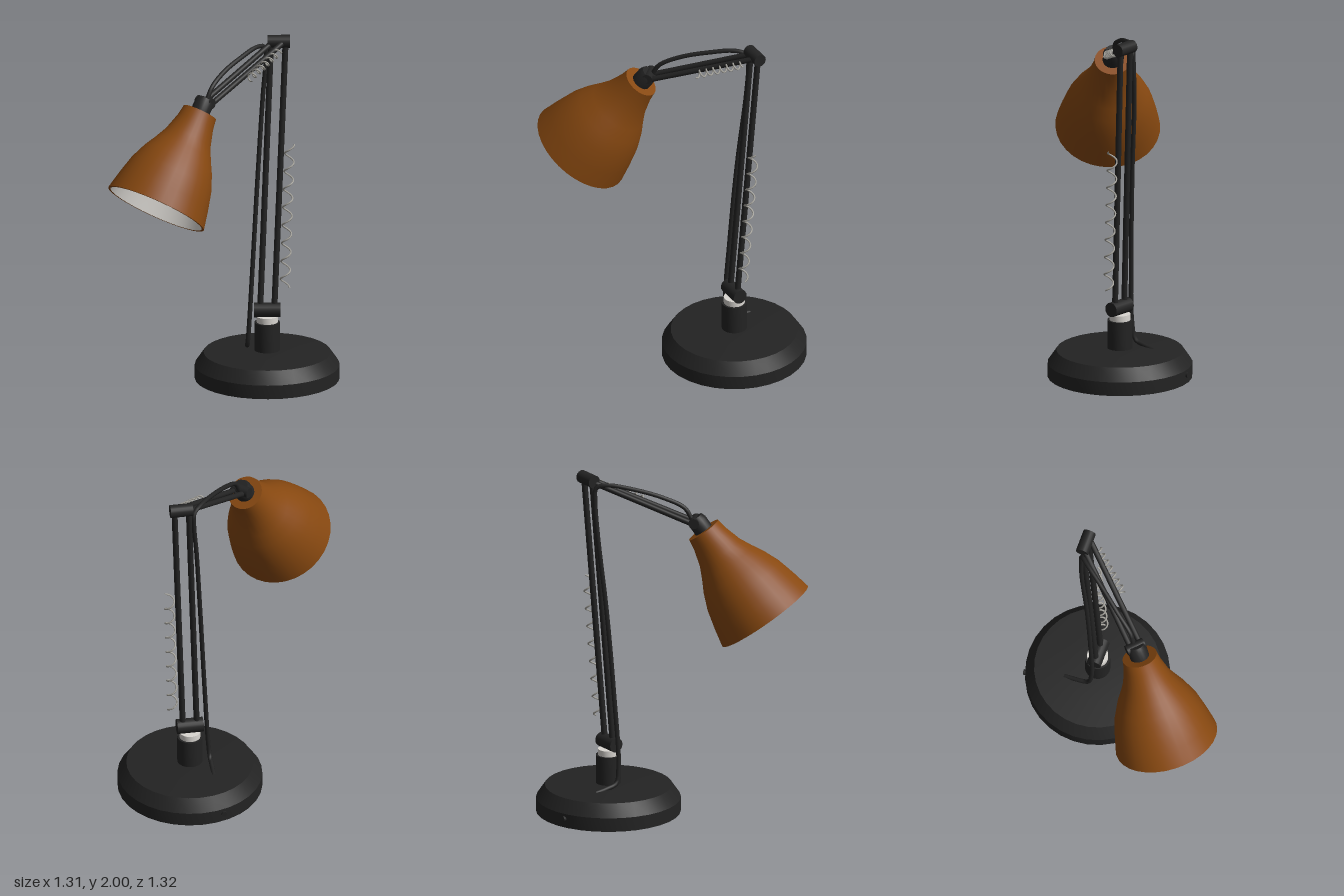
import * as THREE from 'three';
import { toCreasedNormals } from 'three/addons/utils/BufferGeometryUtils.js';

const V = (x, y, z) => new THREE.Vector3(x, y, z);
const UP = V(0, 1, 0);

export function createModel() {
  const lamp = new THREE.Group();
  lamp.name = 'deskLamp';

  const material = (name, color) => {
    const m = new THREE.MeshStandardMaterial({ color });
    m.name = name;
    return m;
  };
  const black = material('black', 0x232323);
  const orange = material('burntOrange', 0x874810);
  const white = material('offWhite', 0xdad7d2);
  const steel = material('steel', 0xa5a39c);

  const add = (name, geometry, mat, parent = lamp) => {
    const mesh = new THREE.Mesh(geometry, mat);
    mesh.name = name;
    parent.add(mesh);
    return mesh;
  };

  // Cylinder stretched between two points
  const rod = (name, a, b, r, mat = black, sides = 12) => {
    const mesh = add(name, new THREE.CylinderGeometry(r, r, a.distanceTo(b), sides), mat);
    mesh.position.copy(a).lerp(b, 0.5);
    mesh.quaternion.setFromUnitVectors(UP, b.clone().sub(a).normalize());
    return mesh;
  };

  // Turned shape from [radius, height] pairs
  const lathe = (points, sides, crease = 0.5) => toCreasedNormals(
    new THREE.LatheGeometry(points.map(([r, y]) => new THREE.Vector2(r, y)), sides), crease);

  const tube = (name, points, r) => add(name,
    new THREE.TubeGeometry(new THREE.CatmullRomCurve3(points), 90, r, 8), black);

  // Coil spring wound around the line from a to b
  const spring = (name, a, b, radius, turns, wire) => {
    const axis = b.clone().sub(a).normalize();
    const u = V(1, 0, 0).addScaledVector(axis, -axis.x).normalize();
    const w = axis.clone().cross(u);
    const points = [];
    for (let i = 0; i <= turns * 12; i++) {
      const t = i / 12 * Math.PI * 2;
      points.push(a.clone().lerp(b, i / (turns * 12))
        .addScaledVector(u, radius * Math.cos(t)).addScaledVector(w, radius * Math.sin(t)));
    }
    add(name, new THREE.TubeGeometry(new THREE.CatmullRomCurve3(points), turns * 18, wire, 6), steel);
  };

  // Weighted base, post and swivel collar
  const stand = new THREE.Group();
  stand.name = 'stand';
  stand.position.set(0.245, 0, -0.25);
  lamp.add(stand);
  add('base', lathe([[0, 0], [0.41, 0], [0.41, 0.08], [0.36, 0.153], [0.2, 0.163], [0, 0.166]], 32), black, stand);
  add('post', lathe([[0.072, 0.155], [0.072, 0.33], [0, 0.33]], 24), black, stand);
  add('collar', lathe([[0.06, 0.325], [0.06, 0.365], [0, 0.365]], 24), white, stand);

  // Hinges
  rod('lowerHinge', V(0.17, 0.402, -0.247), V(0.32, 0.402, -0.247), 0.042, black, 20);
  rod('upperHinge', V(0.247, 1.963, -0.345), V(0.375, 1.963, -0.345), 0.037, black, 20);

  // Paired lower and upper arm rods
  for (const x of [-1, 1]) {
    rod('lowerArm', V(0.245 + x * 0.04, 0.4, -0.247), V(0.309 + x * 0.041, 1.96, -0.345), 0.017);
    rod('upperArm', V(0.3 + x * 0.027, 1.955, -0.33 + x * 0.012),
      V(-0.1 + x * 0.022, 1.735, 0.1 + x * 0.02), 0.016);
  }

  // Tension springs
  spring('lowerSpring', V(0.345, 0.53, -0.25), V(0.373, 1.365, -0.305), 0.027, 8, 0.005);
  spring('upperSpring', V(0.14, 1.83, -0.06), V(0.31, 1.925, -0.27), 0.02, 7, 0.005);

  // Power cable: along the arms, then into the base
  tube('cable', [
    V(-0.1, 1.75, 0.09), V(-0.07, 1.82, 0.06), V(0, 1.88, -0.04), V(0.1, 1.925, -0.17),
    V(0.19, 1.948, -0.29), V(0.235, 1.93, -0.34), V(0.238, 1.85, -0.345), V(0.222, 1.65, -0.338),
    V(0.193, 1.2, -0.297), V(0.165, 0.7, -0.265), V(0.142, 0.3, -0.25), V(0.134, 0.19, -0.27),
    V(0.133, 0.17, -0.33), V(0.135, 0.155, -0.41),
  ], 0.013);
  rod('cableOutlet', V(0.125, 0.05, -0.58), V(0.115, 0.05, -0.65), 0.016);

  // Shade head: local y runs from the open rim back toward the arm
  const head = new THREE.Group();
  head.name = 'head';
  head.position.set(-0.14, 1.695, 0.14);
  head.quaternion.setFromUnitVectors(UP, V(0.25, 0.49, -0.25).normalize());
  lamp.add(head);

  const profile = [[0.297, -0.605], [0.275, -0.5], [0.247, -0.39], [0.21, -0.3],
    [0.172, -0.23], [0.138, -0.16], [0.109, -0.06], [0.1, 0]];
  const inner = profile.map(([r, y]) => [r - 0.014, Math.min(y, -0.015)]);
  add('shade', lathe([inner[0], ...profile, [0, 0]], 32, 0.7), orange, head);
  add('shadeLining', lathe([[0, -0.015], ...inner.reverse()], 32, 0.7), white, head);
  add('socket', lathe([[0.055, -0.005], [0.055, 0.06], [0.045, 0.085], [0, 0.085]], 20), black, head);

  // Pivot pin joining head and arm
  rod('headHinge', V(-0.15, 1.745, 0.065), V(-0.07, 1.745, 0.14), 0.03, black, 16);

  return lamp;
}
